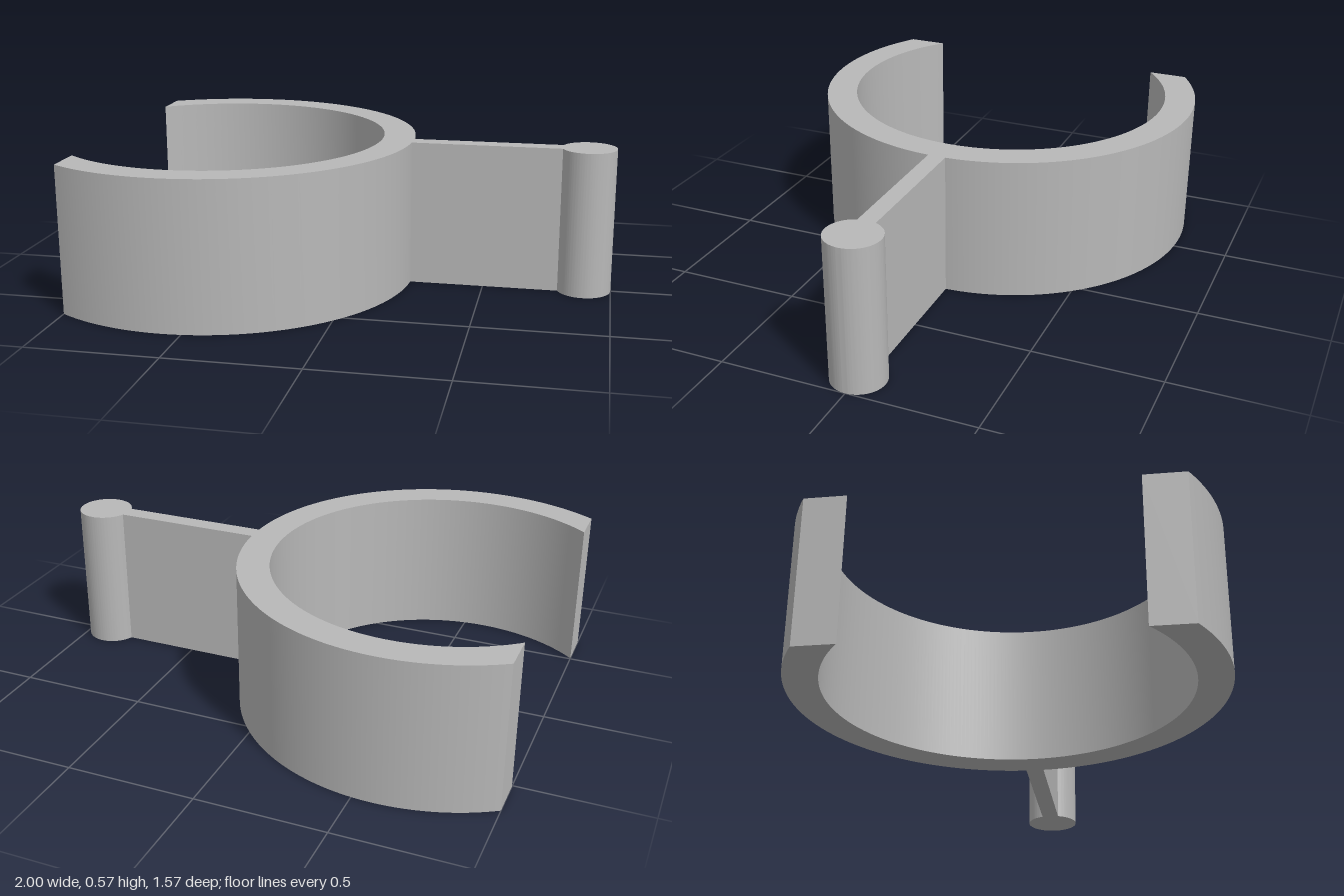
import * as THREE from 'three';
import { toCreasedNormals } from 'three/addons/utils/BufferGeometryUtils.js';

const HEIGHT = 0.572;
const RING_X = -0.575, OUTER = 0.785, INNER = 0.66; // open ring
const CUT = -1 - RING_X;                            // flat cut, measured from the ring centre
const KNOB_R = 0.106, KNOB_X = 1 - KNOB_R;          // round bead at the tip
const HALF_WEB = 0.035;                             // half thickness of the web

// Extrude a plan outline upwards, smooth on the curves and sharp at the edges
function extrudeUp(shape, material, name) {
  const geometry = new THREE.ExtrudeGeometry(shape, { depth: HEIGHT, bevelEnabled: false, curveSegments: 96 });
  geometry.rotateX(-Math.PI / 2);
  const mesh = new THREE.Mesh(toCreasedNormals(geometry, 0.5), material);
  mesh.name = name;
  return mesh;
}

export function createModel() {
  const group = new THREE.Group();
  group.name = 'clip';
  const grey = new THREE.MeshStandardMaterial({ color: 0xb8b8b8 });
  grey.name = 'grey plastic';

  // Open ring, both ends cut on one plane
  const outerEnd = Math.acos(CUT / OUTER), innerEnd = Math.acos(CUT / INNER);
  const ring = new THREE.Shape();
  ring.absarc(RING_X, 0, OUTER, -outerEnd, outerEnd, false);
  ring.absarc(RING_X, 0, INNER, innerEnd, -innerEnd, true);
  ring.closePath();
  group.add(extrudeUp(ring, grey, 'openRing'));

  // Thin web starting on the ring's outer face and ending in the round bead
  const root = Math.asin(HALF_WEB / OUTER), neck = Math.PI - Math.asin(HALF_WEB / KNOB_R);
  const tab = new THREE.Shape();
  tab.absarc(KNOB_X, 0, KNOB_R, -neck, neck, false);
  tab.absarc(RING_X, 0, OUTER, root, -root, true);
  tab.closePath();
  group.add(extrudeUp(tab, grey, 'beadedTab'));

  return group;
}
